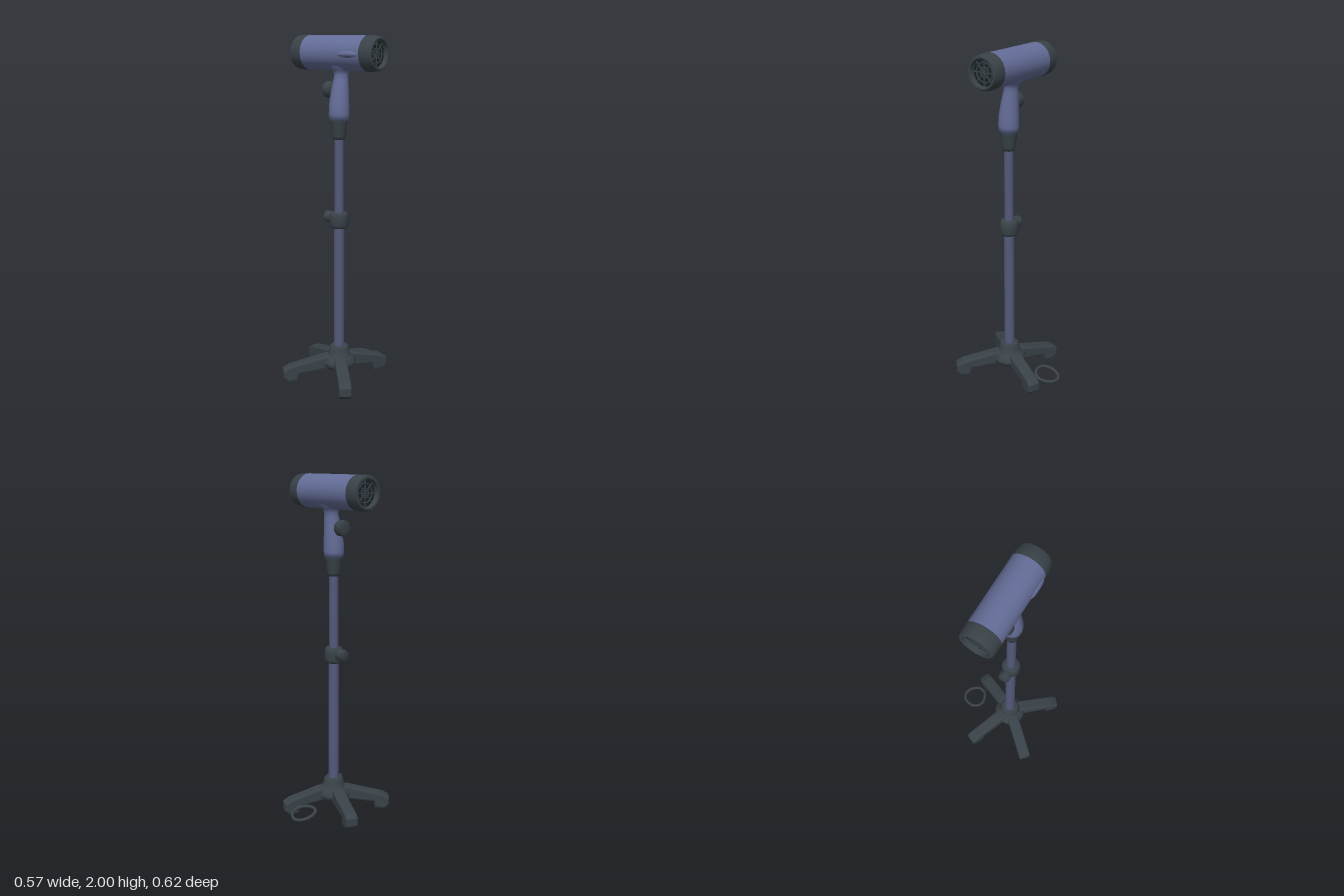
import * as THREE from 'three';

const CX = 0.027, CZ = 0.034; // stand axis
const HEAD_Y = 1.904, HEAD_Z = 0.011; // head axis

export function createModel() {
  const root = new THREE.Group();
  const mat = (name, color) => {
    const m = new THREE.MeshStandardMaterial({ color });
    m.name = name;
    return m;
  };
  const blue = mat('slate blue shell', 0x646d98);
  const poleBlue = mat('dull blue tube', 0x55597a);
  const dark = mat('charcoal plastic', 0x394248);
  const black = mat('dark grille', 0x1b2124);

  const add = (name, geo, material, x = 0, y = 0, z = 0, parent = root) => {
    const mesh = new THREE.Mesh(geo, material);
    mesh.name = name;
    mesh.position.set(x, y, z);
    parent.add(mesh);
    return mesh;
  };
  const lathe = (pts, sides = 24) =>
    new THREE.LatheGeometry(pts.map(([r, y]) => new THREE.Vector2(r, y)), sides);

  // Four sloping legs, each with a foot at the tip
  const legs = [[131.3, 0.338], [45.9, 0.332], [-65.4, 0.314], [-157, 0.333]];
  for (const [angle, len] of legs) {
    const b = 0.012;
    const side = new THREE.Shape([
      [0, 0.075], [0.08, 0.077], [len - 0.085, 0.055], [len - 0.075, b + 0.002],
      [len - 0.03, b], [len - b, 0.03], [len - b, 0.064], [len - 0.04, 0.082],
      [0.09, 0.132], [0, 0.14],
    ].map(([x, y]) => new THREE.Vector2(x, y)));
    const geo = new THREE.ExtrudeGeometry(side, {
      depth: 0.05, bevelEnabled: true, bevelThickness: b, bevelSize: b, bevelSegments: 2,
    });
    geo.translate(0, 0, -0.025);
    add('leg', geo, dark, CX, 0, CZ).rotation.y = -THREE.MathUtils.degToRad(angle);
  }

  // Hub over the legs
  add('hub', lathe([[0, 0.055], [0.07, 0.06], [0.1, 0.085], [0.1, 0.105], [0.085, 0.135],
    [0.064, 0.148], [0.06, 0.185], [0.05, 0.2], [0, 0.2]], 16), dark, CX, 0, CZ);

  // Telescopic pole
  add('lowerPole', new THREE.CylinderGeometry(0.03, 0.031, 0.78, 20), poleBlue, CX, 0.56, CZ);
  add('upperPole', new THREE.CylinderGeometry(0.026, 0.027, 0.5, 20), poleBlue, CX, 1.22, CZ);

  // Height clamp with its knob
  add('clampCollar', lathe([[0, 0.92], [0.044, 0.922], [0.054, 0.94], [0.055, 0.99],
    [0.046, 1.012], [0, 1.016]], 16), dark, CX, 0, CZ);
  const knob = (name, y, r, tip, base) => {
    const n = base - tip;
    const geo = lathe([[0, 0], [r * 0.8, 0], [r, 0.01], [r, n * 0.65], [r * 0.7, n], [0, n]], 16);
    geo.rotateZ(-Math.PI / 2);
    add(name, geo, dark, tip, y, CZ);
  };
  knob('clampKnob', 0.977, 0.034, -0.07, 0.0);

  // Socket at the top of the pole
  add('socket', lathe([[0, 1.43], [0.034, 1.432], [0.037, 1.45], [0.048, 1.53],
    [0.053, 1.555], [0, 1.558]], 20), dark, CX, 0, CZ);

  // Grip, flaring into the head and leaning back a little towards its axis
  const grip = lathe([[0, 1.535], [0.053, 1.54], [0.058, 1.57], [0.057, 1.62], [0.05, 1.7],
    [0.042, 1.76], [0.04, 1.79], [0.048, 1.81], [0.066, 1.828], [0.072, 1.85]]);
  const p = grip.attributes.position;
  for (let i = 0; i < p.count; i++) {
    const t = THREE.MathUtils.smoothstep(p.getY(i), 1.6, 1.85);
    p.setZ(i, p.getZ(i) - t * (CZ - HEAD_Z));
  }
  grip.computeVertexNormals();
  add('grip', grip, blue, CX, 0, CZ);
  knob('gripKnob', 1.705, 0.045, -0.067, -0.005);

  // Head barrel lying along x
  const head = new THREE.Group();
  head.name = 'head';
  head.position.set(0, HEAD_Y, HEAD_Z);
  root.add(head);
  const barrel = new THREE.CylinderGeometry(0.095, 0.095, 0.42, 40, 1, true);
  barrel.rotateZ(Math.PI / 2);
  add('barrel', barrel, blue, 0.01, 0, 0, head);

  // End caps with a recessed grille; sign is the side, start and end are distances along x
  const endCap = (sign, start, end, rIn, rOut) => {
    const cap = new THREE.Group();
    cap.name = 'endCap';
    cap.rotation.z = -sign * Math.PI / 2; // local +y points outwards
    head.add(cap);
    const profile = [[[0.093, start], [rIn, start + 0.002]],
      [[rIn, start + 0.002], [rIn, start + 0.03], [rOut + 0.002, end - 0.008], [rOut - 0.004, end]],
      [[rOut - 0.004, end], [0.076, end]],
      [[0.076, end], [0.072, end - 0.03]]];
    for (const pts of profile) add('capShell', lathe(pts, 32), dark, 0, 0, 0, cap);
    add('grilleBack', new THREE.CylinderGeometry(0.074, 0.074, 0.006, 32), black, 0, end - 0.031, 0, cap);
    for (const r of [0.026, 0.052]) {
      const ring = new THREE.TorusGeometry(r, 0.004, 6, 28);
      ring.rotateX(Math.PI / 2);
      add('grilleRing', ring, dark, 0, end - 0.027, 0, cap);
    }
    for (let i = 0; i < 4; i++) {
      add('grilleBar', new THREE.BoxGeometry(0.146, 0.006, 0.006), dark, 0, end - 0.026, 0, cap)
        .rotation.y = i * Math.PI / 4;
    }
  };
  endCap(1, 0.207, 0.285, 0.0965, 0.089);
  endCap(-1, 0.193, 0.27, 0.0965, 0.092);

  // Low slide switch on the front of the barrel
  const pad = new THREE.SphereGeometry(1, 20, 12);
  pad.scale(0.068, 0.018, 0.012);
  add('switchPad', pad, blue, 0.135, -0.004, 0.092, head);
  const slot = new THREE.SphereGeometry(1, 16, 10);
  slot.scale(0.05, 0.006, 0.004);
  add('switchSlot', slot, poleBlue, 0.135, -0.008, 0.101, head);

  // Loose loop of cable behind the base
  const loop = [];
  for (let i = 0; i < 11; i++) {
    const a = (i / 11) * Math.PI * 2;
    const r = 0.068 + 0.003 * Math.sin(3 * a + 1);
    const z = -0.23 + r * 1.03 * Math.sin(a);
    loop.push(new THREE.Vector3(0.001 + r * Math.cos(a), 0.036 + 0.22 * (z + 0.3), z));
  }
  const path = new THREE.CatmullRomCurve3(loop, true, 'catmullrom', 0.2);
  add('cableLoop', new THREE.TubeGeometry(path, 44, 0.01, 8, true), dark);

  return root;
}
